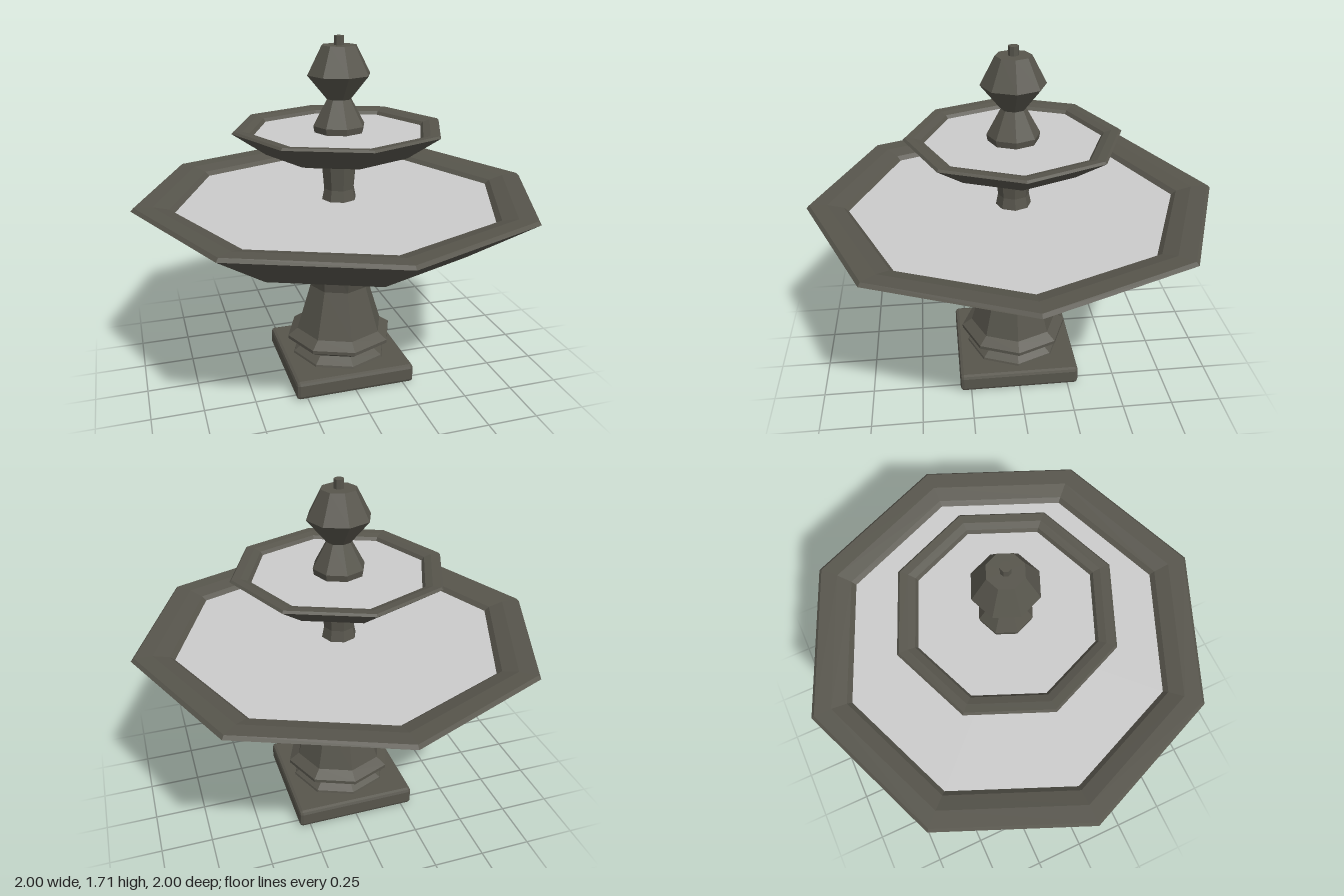
import * as THREE from 'three';
import { RoundedBoxGeometry } from 'three/addons/geometries/RoundedBoxGeometry.js';

const stone = new THREE.MeshStandardMaterial({ color: 0x57554c, flatShading: true });
const water = new THREE.MeshStandardMaterial({ color: 0xcccccc });

// Eight-sided turned part; profile of [radius, height] from bottom to top
function turned(name, profile) {
  const points = profile.map(([r, y]) => new THREE.Vector2(r, y));
  const mesh = new THREE.Mesh(new THREE.LatheGeometry(points, 8), stone);
  mesh.name = name;
  return mesh;
}

// Flat octagonal water surface with corners on the axes
function pool(name, radius, y) {
  const mesh = new THREE.Mesh(new THREE.CircleGeometry(radius, 8), water);
  mesh.rotation.x = -Math.PI / 2;
  mesh.position.y = y;
  mesh.name = name;
  return mesh;
}

export function createModel() {
  const fountain = new THREE.Group();
  fountain.name = 'fountain';

  // Square plinth with chamfered edges
  const plinth = new THREE.Mesh(new RoundedBoxGeometry(0.61, 0.095, 0.61, 1, 0.018), stone);
  plinth.position.y = 0.0475;
  plinth.name = 'plinth';

  // Moulded foot and waisted column
  const pedestal = turned('pedestal', [
    [0.25, 0.09], [0.245, 0.105], [0.2, 0.137], [0.275, 0.183], [0.275, 0.2],
    [0.225, 0.235], [0.153, 0.47], [0.222, 0.725],
  ]);
  // The column head is narrower from side to side
  const p = pedestal.geometry.attributes.position;
  for (let i = 0; i < p.count; i++) {
    if (p.getY(i) > 0.7) p.setX(i, p.getX(i) * 0.82);
  }

  // Lower basin, from the centre of its underside over the rim to the water
  const lowerBasin = turned('lowerBasin', [
    [0, 0.72], [0.6, 0.72], [0.67, 0.737], [1, 0.953], [0.985, 0.968],
    [0.9, 0.964], [0.825, 0.945], [0.79, 0.915],
  ]);

  const stem = turned('stem', [[0.09, 0.91], [0.076, 0.98], [0.092, 1.16]]);

  const upperBasin = turned('upperBasin', [
    [0, 1.155], [0.31, 1.155], [0.36, 1.172], [0.52, 1.283], [0.51, 1.293],
    [0.47, 1.29], [0.435, 1.28], [0.415, 1.255],
  ]);

  // Flared neck and bulb, closed at the top
  const finial = turned('finial', [
    [0.12, 1.25], [0.128, 1.295], [0.06, 1.42], [0.155, 1.535], [0.085, 1.67], [0, 1.67],
  ]);
  const spout = turned('spout', [[0.025, 1.66], [0.025, 1.713], [0, 1.713]]);

  fountain.add(
    plinth, pedestal, lowerBasin, pool('lowerWater', 0.805, 0.925),
    stem, upperBasin, pool('upperWater', 0.422, 1.264), finial, spout,
  );
  return fountain;
}
